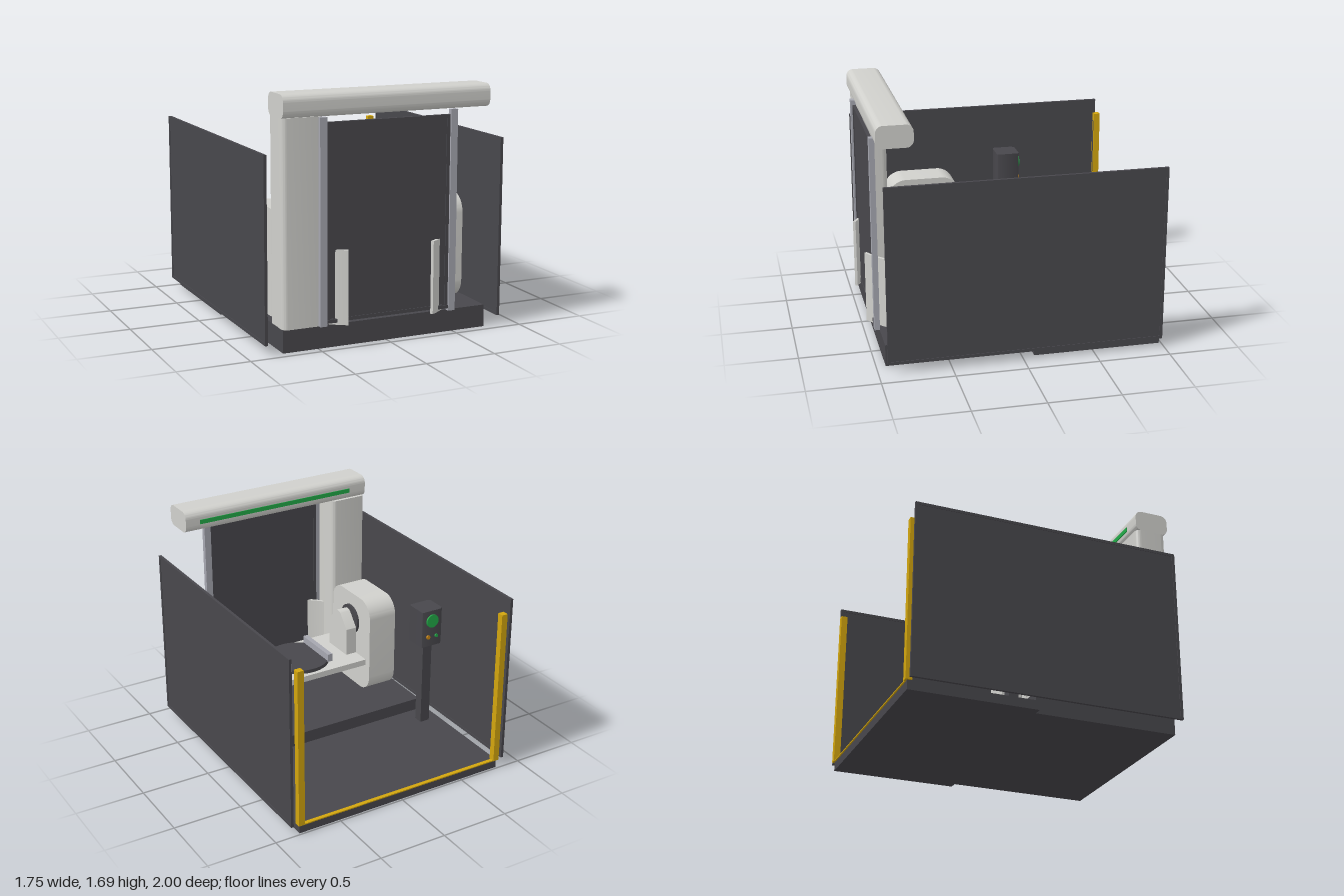
import * as THREE from 'three';
import { toCreasedNormals } from 'three/addons/utils/BufferGeometryUtils.js';

const mat = (name, color) => Object.assign(new THREE.MeshStandardMaterial({ color }), { name });

export function createModel() {
  const dark = mat('charcoal', 0x48474c);
  const light = mat('lightGrey', 0xd0d0cc);
  const steel = mat('blueGreySteel', 0xa6a7b0);
  const yellow = mat('safetyYellow', 0xd2a50e);
  const green = mat('signalGreen', 0x22aa48);
  const amber = mat('amber', 0xd08a10);

  const root = new THREE.Group();
  root.name = 'workcell';

  const add = (name, geo, material, parent = root) => {
    const m = new THREE.Mesh(geo, material);
    m.name = name;
    parent.add(m);
    return m;
  };
  // Box given by its minimum and maximum on each axis
  const box = (name, material, x0, x1, y0, y1, z0, z1, parent) => {
    const m = add(name, new THREE.BoxGeometry(x1 - x0, y1 - y0, z1 - z0), material, parent);
    m.position.set((x0 + x1) / 2, (y0 + y1) / 2, (z0 + z1) / 2);
    return m;
  };
  const roundedRect = (w, h, r) => {
    const s = new THREE.Shape();
    const a = w / 2 - r, b = h / 2 - r;
    s.absarc(a, b, r, 0, Math.PI / 2);
    s.absarc(-a, b, r, Math.PI / 2, Math.PI);
    s.absarc(-a, -b, r, Math.PI, Math.PI * 1.5);
    s.absarc(a, -b, r, Math.PI * 1.5, Math.PI * 2);
    s.closePath();
    return s;
  };
  // Extrusion centred on its depth, with rounded parts shaded smooth
  const extrude = (shape, depth) => {
    const g = new THREE.ExtrudeGeometry(shape, { depth, bevelEnabled: false, curveSegments: 10 });
    g.translate(0, 0, -depth / 2);
    return toCreasedNormals(g, 0.6);
  };
  // Thin sheet held in a slightly thicker rectangular frame
  const framedPanel = (name, w, h, thick, border) => {
    const g = new THREE.Group();
    g.name = name;
    const outer = new THREE.Shape([[-w, -h], [w, -h], [w, h], [-w, h]].map(([x, y]) => new THREE.Vector2(x / 2, y / 2)));
    const a = w / 2 - border, b = h / 2 - border;
    outer.holes.push(new THREE.Path([[-a, -b], [-a, b], [a, b], [a, -b]].map(([x, y]) => new THREE.Vector2(x, y))));
    add(name + 'Frame', extrude(outer, thick), dark, g);
    add(name + 'Sheet', new THREE.BoxGeometry(2 * a, 2 * b, thick * 0.6), dark, g);
    root.add(g);
    return g;
  };

  // Base and rear floor
  box('frontBase', dark, -0.75, 0.75, 0, 0.155, -0.085, 0.935);
  box('rearFloor', dark, -0.81, 0.81, 0, 0.065, -0.985, -0.085);
  box('floorStrip', yellow, -0.78, 0.78, 0.062, 0.07, -0.995, -0.967);

  // Column and top beam
  const column = add('column', extrude(roundedRect(0.28, 0.225, 0.035), 1.385).rotateX(-Math.PI / 2), light);
  column.position.set(-0.61, 0.846, 0.8275);
  const beam = add('topBeam', extrude(roundedRect(0.25, 0.155, 0.05), 1.5).rotateY(Math.PI / 2), light);
  beam.position.set(0, 1.612, 0.835);
  box('beamLight', green, -0.61, 0.64, 1.59, 1.622, 0.705, 0.714);

  // Sliding door
  framedPanel('door', 0.9, 1.325, 0.025, 0.024).position.set(0, 0.8375, 0.945);

  for (const s of [-1, 1]) {
    const side = new THREE.Group();
    side.name = s > 0 ? 'leftSide' : 'rightSide';
    root.add(side);
    const sideBox = (name, material, x0, x1, ...rest) =>
      box(name, material, Math.min(s * x0, s * x1), Math.max(s * x0, s * x1), ...rest, side);

    // Side wall
    const wall = framedPanel('sidePanel', 1.92, 1.25, 0.02, 0.02);
    wall.rotation.y = Math.PI / 2;
    wall.position.set(s * 0.865, 0.69, -0.025);

    // Light curtain post with its sensor window
    sideBox('curtainPost', yellow, 0.777, 0.823, 0.065, 1.22, -1, -0.955);
    sideBox('sensorWindow', dark, 0.79, 0.81, 0.19, 1.16, -0.956, -0.953);

    // Door rail and lower stop
    sideBox('doorRail', steel, 0.45, 0.5, 0.155, 1.535, 0.933, 0.97);
    sideBox('doorStop', dark, 0.375, 0.45, 0.172, 0.195, 0.945, 0.966);

    // Curved guard around the turntable
    const guard = new THREE.Shape();
    const a0 = THREE.MathUtils.degToRad(6), a1 = THREE.MathUtils.degToRad(60.5);
    guard.absarc(0, 0, 0.638, a0, a1, false);
    guard.absarc(0, 0, 0.618, a1, a0, true);
    guard.closePath();
    const guardGeo = extrude(guard, 0.505).rotateX(Math.PI / 2);
    if (s < 0) guardGeo.rotateZ(Math.PI); // turned over to face the other side
    add('curvedGuard', guardGeo, light, side).position.set(0, 0.4075, 0.445);

    // Rounded headstock housing
    const head = add('headstock', extrude(roundedRect(0.53, 0.74, 0.13), 0.225).rotateY(Math.PI / 2), light, side);
    head.position.set(s * 0.585, 0.525, 0.445);

    // Drive flange and shaft
    for (const [name, r, len, x, m] of [['driveFlange', 0.115, 0.02, 0.464, dark], ['driveShaft', 0.056, 0.03, 0.447, light]]) {
      const c = add(name, new THREE.CylinderGeometry(r, r, len, 32).rotateZ(Math.PI / 2), m, side);
      c.position.set(s * x, 0.68, 0.445);
    }

    // Upright arm that carries the table, tapered to a rounded top
    const arm = new THREE.Shape();
    arm.moveTo(-0.123, 0.44);
    arm.lineTo(0.123, 0.44);
    arm.lineTo(0.123, 0.66);
    arm.absarc(0, 0.72, 0.056, Math.PI * 0.28, Math.PI * 0.72, false);
    arm.lineTo(-0.123, 0.66);
    arm.closePath();
    add('tableArm', extrude(arm, 0.085).rotateY(Math.PI / 2), light, side).position.set(s * 0.3975, 0, 0.445);

    // Clamping rail on the turntable
    sideBox('clampRail', steel, 0.155, 0.193, 0.47, 0.53, 0.26, 0.63);
  }

  // Table and turntable disc
  box('table', light, -0.44, 0.44, 0.405, 0.45, 0.18, 0.71);
  add('turntable', new THREE.CylinderGeometry(0.236, 0.236, 0.03, 48), dark).position.set(0, 0.462, 0.445);

  // Operator box on a stand
  const control = add('controlBox', extrude(roundedRect(0.17, 0.17, 0.015), 0.28).rotateX(-Math.PI / 2), dark);
  control.position.set(-0.687, 0.86, -0.23);
  box('wallBracket', dark, -0.78, -0.74, 0.72, 1.0, -0.3, -0.16);
  box('controlStand', dark, -0.725, -0.65, 0.06, 0.72, -0.265, -0.195);
  for (const [name, x, y, r, m] of [
    ['startButton', -0.687, 0.92, 0.05, green],
    ['amberLamp', -0.655, 0.795, 0.015, amber],
    ['greenLamp', -0.725, 0.795, 0.013, green],
  ]) {
    add(name, new THREE.CylinderGeometry(r, r, 0.012, 24).rotateX(Math.PI / 2), m).position.set(x, y, -0.32);
  }

  return root;
}
